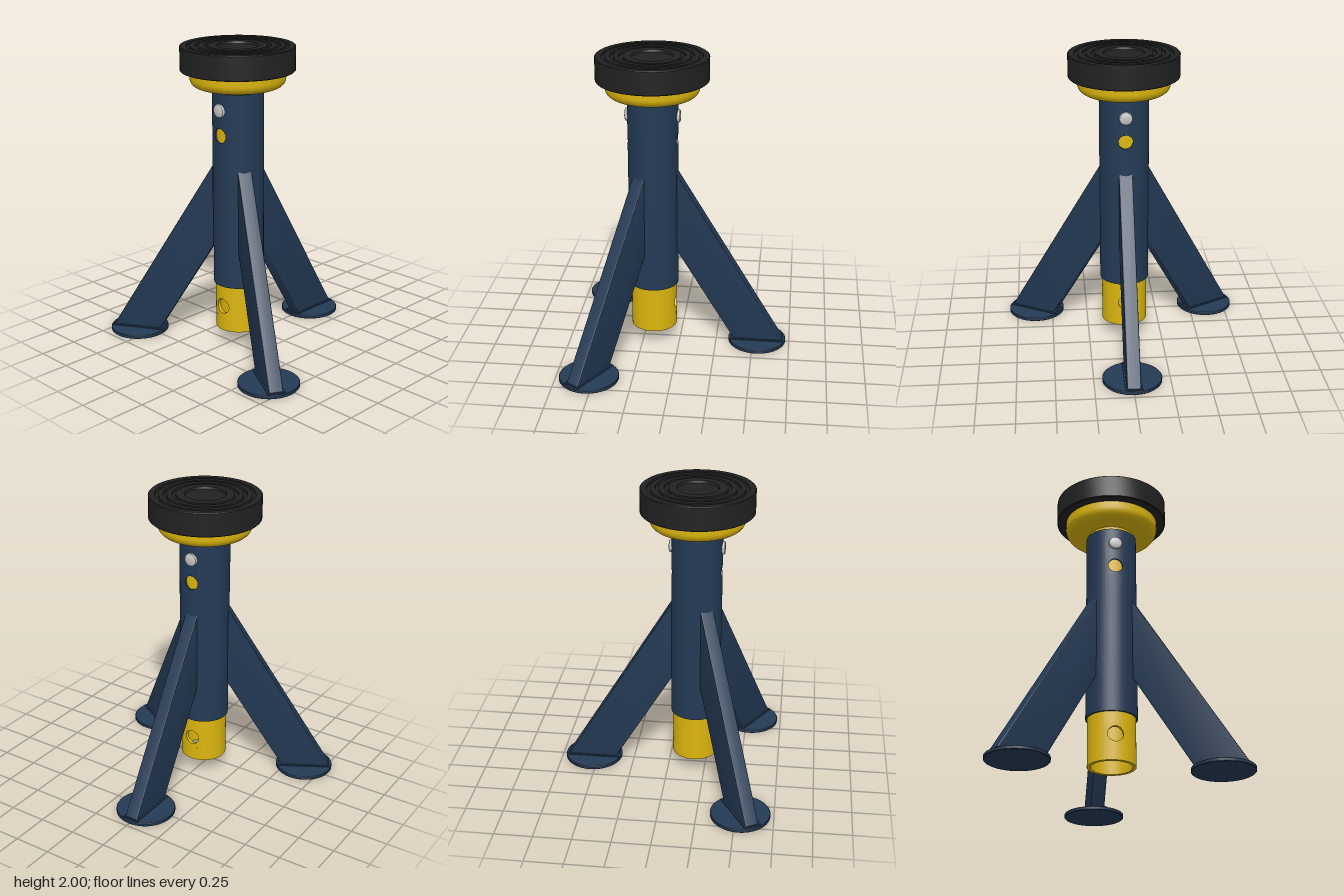
import * as THREE from 'three';
import { mergeGeometries, toCreasedNormals } from 'three/addons/utils/BufferGeometryUtils.js';

const mat = (name, color, side = THREE.DoubleSide) => {
  const m = new THREE.MeshStandardMaterial({ color, side });
  m.name = name;
  return m;
};

const mesh = (name, geometry, material) => {
  const m = new THREE.Mesh(geometry, material);
  m.name = name;
  return m;
};

const lathe = (pts, segments = 64) =>
  toCreasedNormals(new THREE.LatheGeometry(pts.map(p => new THREE.Vector2(...p)), segments), 0.6);

// point on a cylinder, angle measured from +z towards +x
const onCylinder = (R, angle, y) => [R * Math.sin(angle), y, R * Math.cos(angle)];

function fromQuads(quads) {
  const pos = [];
  for (const [a, b, c, d] of quads) pos.push(...a, ...b, ...c, ...a, ...c, ...d);
  const g = new THREE.BufferGeometry();
  g.setAttribute('position', new THREE.Float32BufferAttribute(pos, 3));
  return g;
}

// hollow tube with one cross hole drilled through it along x
function drilledTube(R, inner, y0, y1, holeY, holeR) {
  const parts = [];
  const s = holeR * 1.5, n = 32, steps = 4;
  const rimPoint = (r, side, i) => {
    const t = (i / n) * Math.PI * 2;
    return onCylinder(r, side * Math.PI / 2 + Math.asin(holeR * Math.cos(t) / r), holeY + holeR * Math.sin(t));
  };
  for (const r of [R, inner]) {
    const a = s / r;
    const band = (bottom, top, start, length, segs) => {
      const g = new THREE.CylinderGeometry(r, r, top - bottom, segs, 1, true, start, length);
      parts.push(g.translate(0, (bottom + top) / 2, 0).toNonIndexed());
    };
    for (const side of [1, -1]) {
      const mid = side * Math.PI / 2;
      band(y0, y1, mid + a, Math.PI - 2 * a, 24);
      band(y0, holeY - s, mid - a, 2 * a, 8);
      band(holeY + s, y1, mid - a, 2 * a, 8);
      // square patch around the round hole
      const point = (i, j) => {
        const t = (i / n) * Math.PI * 2, c = Math.cos(t), d = Math.sin(t), f = j / steps;
        const k = s / Math.max(Math.abs(c), Math.abs(d));
        const u = THREE.MathUtils.lerp(Math.asin(holeR * c / r), k * c / r, f);
        return onCylinder(r, mid + u, holeY + THREE.MathUtils.lerp(holeR, k, f) * d);
      };
      const quads = [];
      for (let i = 0; i < n; i++) for (let j = 0; j < steps; j++)
        quads.push([point(i, j), point(i, j + 1), point(i + 1, j + 1), point(i + 1, j)]);
      parts.push(fromQuads(quads));
    }
  }
  // wall thickness inside the hole
  for (const side of [1, -1]) {
    const quads = [];
    for (let i = 0; i < n; i++)
      quads.push([rimPoint(R, side, i), rimPoint(R, side, i + 1), rimPoint(inner, side, i + 1), rimPoint(inner, side, i)]);
    parts.push(fromQuads(quads));
  }
  // end rings
  for (const [y, turn] of [[y0, 1], [y1, -1]])
    parts.push(new THREE.RingGeometry(inner, R, 64).rotateX(turn * Math.PI / 2).translate(0, y, 0).toNonIndexed());
  for (const g of parts) {
    g.deleteAttribute('uv');
    g.deleteAttribute('normal');
    g.computeVertexNormals();
  }
  return toCreasedNormals(mergeGeometries(parts), 0.6);
}

export function createModel() {
  const navy = mat('navy paint', 0x243a55);
  const yellow = mat('yellow paint', 0xdcb60e);
  const rubber = mat('black rubber', 0x222222);
  const steel = mat('bright steel', 0xc8c8c8);

  const model = new THREE.Group();
  model.name = 'jackStand';
  const stand = new THREE.Group();
  stand.name = 'stand';
  stand.position.x = -0.178;
  model.add(stand);

  // telescoping post
  stand.add(mesh('outerTube', drilledTube(0.165, 0.154, 0.425, 1.715, 1.443, 0.047), navy));
  stand.add(mesh('innerTube', drilledTube(0.153, 0.13, 0.11, 1.75, 0.28, 0.05), yellow));

  // locking pin through the post
  const pin = lathe([[0, -0.18], [0.034, -0.18], [0.041, -0.176], [0.044, -0.168],
    [0.044, 0.168], [0.041, 0.176], [0.034, 0.18], [0, 0.18]], 32);
  pin.rotateZ(Math.PI / 2).translate(0, 1.605, 0);
  stand.add(mesh('lockingPin', pin, steel));

  // saddle cup with rounded lower edge
  const cup = [[0, 1.738], [0.245, 1.738]];
  for (let i = 1; i <= 8; i++) {
    const t = (i / 8) * Math.PI / 2;
    cup.push([0.245 + 0.06 * Math.sin(t), 1.798 - 0.06 * Math.cos(t)]);
  }
  cup.push([0.305, 1.85], [0, 1.85]);
  stand.add(mesh('saddleCup', lathe(cup), yellow));

  // rubber pad with concentric grooves and a shallow centre recess
  const pad = [[0, 1.842], [0.36, 1.842], [0.365, 1.847], [0.365, 1.995], [0.36, 2]];
  for (const [outer, inner] of [[0.322, 0.3], [0.268, 0.246], [0.212, 0.188]])
    pad.push([outer, 2], [outer, 1.985], [inner, 1.985], [inner, 2]);
  pad.push([0.135, 2], [0.13, 1.985], [0, 1.985]);
  stand.add(mesh('rubberPad', lathe(pad), rubber));

  // three slanted box-section legs on round feet
  const profile = new THREE.Shape([[0.157, 0.673], [0.157, 1.223], [0.886, 0.015], [0.556, 0.015]]
    .map(p => new THREE.Vector2(...p)));
  const legGeometry = toCreasedNormals(new THREE.ExtrudeGeometry(profile, {
    depth: 0.074, bevelEnabled: true, bevelThickness: 0.008, bevelSize: 0.008, bevelOffset: -0.008, bevelSegments: 3,
  }).translate(0, 0, -0.037), 0.6);
  const footGeometry = lathe([[0, 0], [0.192, 0], [0.195, 0.003], [0.195, 0.02], [0.192, 0.023], [0, 0.023]]);
  const weldGeometry = new THREE.BoxGeometry(0.355, 0.008, 0.112).translate(0.708, 0.027, 0);
  for (let i = 0; i < 3; i++) {
    const leg = new THREE.Group();
    leg.name = 'leg' + (i + 1);
    leg.rotation.y = i * Math.PI * 2 / 3;
    const foot = mesh('foot', footGeometry, navy);
    foot.position.x = 0.708;
    leg.add(mesh('strut', legGeometry, navy), mesh('footWeld', weldGeometry, navy), foot);
    stand.add(leg);
  }
  return model;
}
